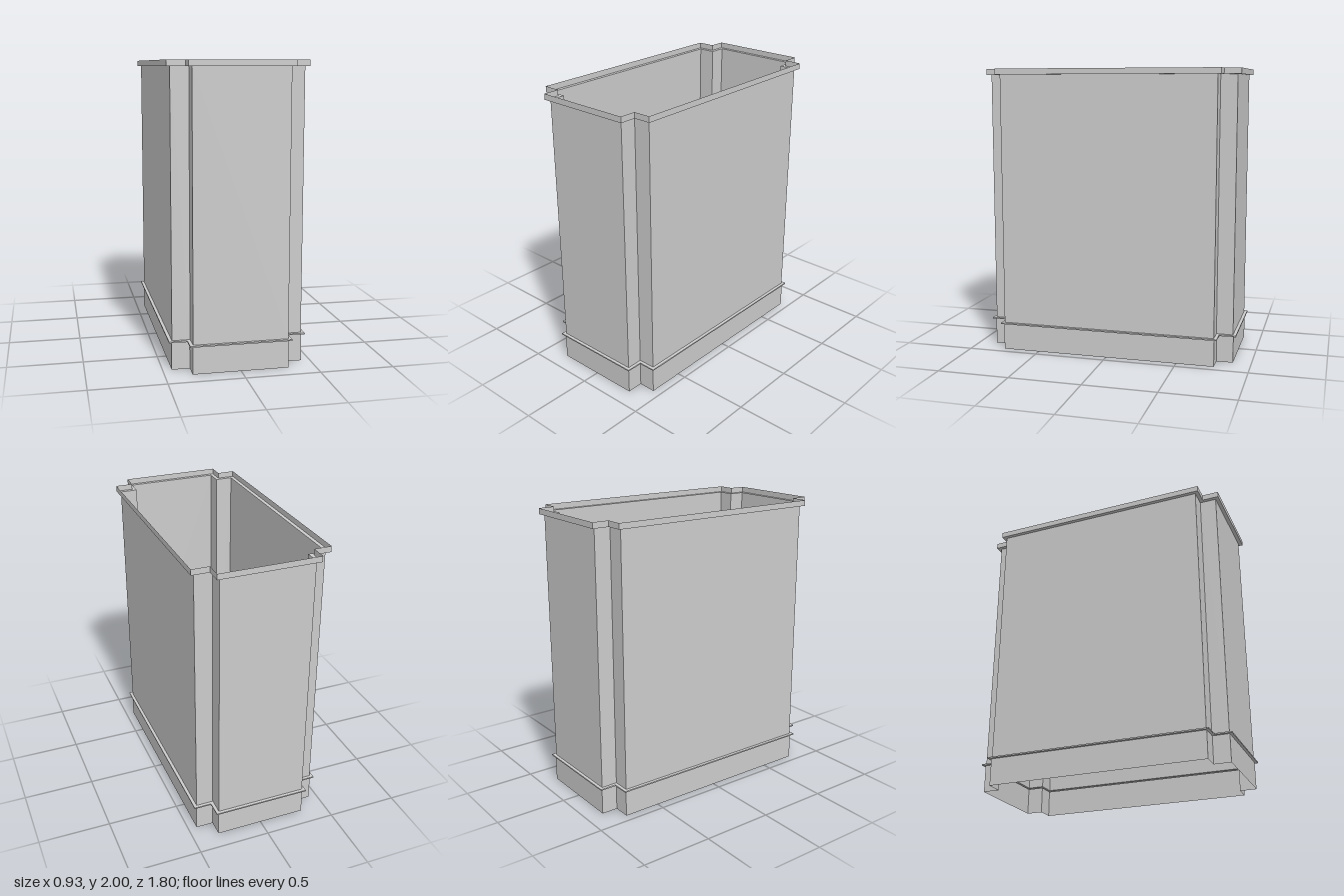
import * as THREE from 'three';

// Half sizes of the notched rectangle: full width/depth and the notch corners
const W = 0.437, D = 0.872, NOTCH_X = 0.317, NOTCH_Z = 0.758;

const material = new THREE.MeshStandardMaterial({
  color: 0xcccccc, flatShading: true, side: THREE.DoubleSide,
});

// Plan outline with all four corners notched, grown outward by d
function outline(d) {
  const w = W + d, z = D + d, nx = NOTCH_X + d, nz = NOTCH_Z + d;
  const corner = [[w, nz], [nx, nz], [nx, z]];
  const mirror = (sx, sz) => corner.map(([x, y]) => [x * sx, y * sz]);
  return [
    ...mirror(1, 1),
    ...mirror(-1, 1).reverse(),
    ...mirror(-1, -1),
    ...mirror(1, -1).reverse(),
  ];
}

// Sheet swept around the outline; profile is a list of [outward offset, height]
function sweep(name, profile) {
  const positions = [];
  for (let i = 0; i < profile.length - 1; i++) {
    const [[d0, y0], [d1, y1]] = [profile[i], profile[i + 1]];
    const low = outline(d0), high = outline(d1);
    for (let j = 0; j < low.length; j++) {
      const k = (j + 1) % low.length;
      const a = [low[j][0], y0, low[j][1]], b = [low[k][0], y0, low[k][1]];
      const c = [high[k][0], y1, high[k][1]], e = [high[j][0], y1, high[j][1]];
      positions.push(...a, ...c, ...b, ...a, ...e, ...c);
    }
  }
  const geometry = new THREE.BufferGeometry();
  geometry.setAttribute('position', new THREE.Float32BufferAttribute(positions, 3));
  geometry.computeVertexNormals();
  const mesh = new THREE.Mesh(geometry, material);
  mesh.name = name;
  return mesh;
}

export function createModel() {
  const group = new THREE.Group();
  group.name = 'notchedOpenBin';
  group.add(
    // Plain band at the foot, open underneath
    sweep('baseSkirt', [[0.003, 0], [0.003, 0.187]]),
    // Thin hollow ridge between skirt and walls
    sweep('baseMoulding', [[0.003, 0.187], [0.022, 0.187], [0.022, 0.196], [0, 0.196]]),
    // Tall walls
    sweep('walls', [[0, 0.196], [0, 1.96]]),
    // Ledge stepping out to an upright lip, open on top
    sweep('rim', [[0, 1.96], [0.026, 1.96], [0.026, 2]]),
  );
  return group;
}
